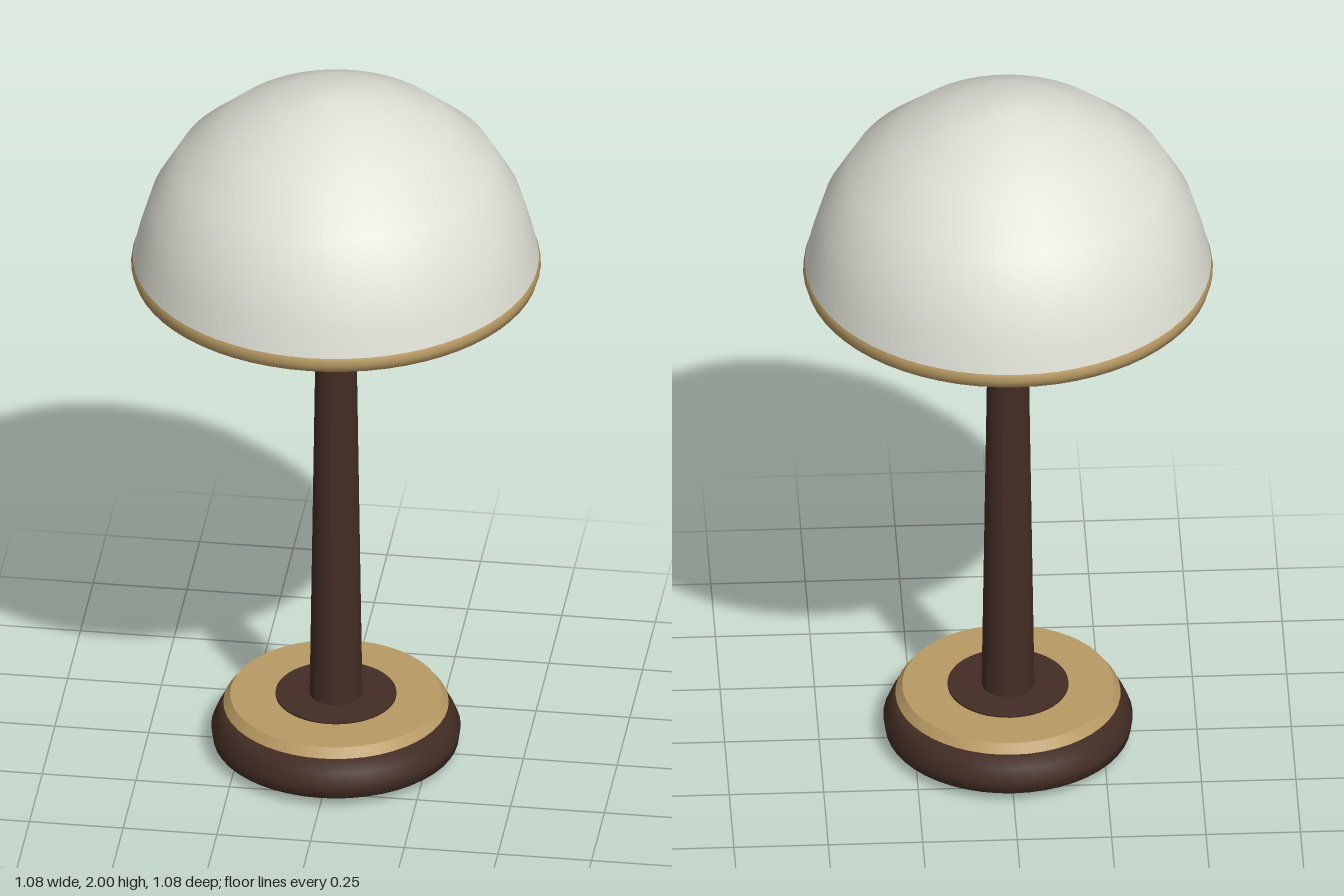
import * as THREE from 'three';

const mat = (name, color) => {
  const m = new THREE.MeshStandardMaterial({ color });
  m.name = name;
  return m;
};

export function createModel() {
  const glass = mat('milk glass', 0xdedfd4);
  const brass = mat('brass', 0xb89a63);
  const wood = mat('dark wood', 0x432d24);
  const copper = mat('copper', 0xb27763);

  const lamp = new THREE.Group();
  lamp.name = 'tableLamp';

  const add = (name, geometry, material, y = 0) => {
    const mesh = new THREE.Mesh(geometry, material);
    mesh.name = name;
    mesh.position.y = y;
    lamp.add(mesh);
  };
  // Profiles run from the underside outward and up, so faces point outward
  const lathe = (name, profile, material, segments = 64) =>
    add(name, new THREE.LatheGeometry(profile.map(([r, y]) => new THREE.Vector2(r, y)), segments), material);
  const drum = (name, rTop, rBottom, y0, y1, material, segments = 32) =>
    add(name, new THREE.CylinderGeometry(rTop, rBottom, y1 - y0, segments), material, (y0 + y1) / 2);

  // Foot: rounded wooden base, brass plate and central wooden inlay
  lathe('base', [[0, 0], [0.25, 0.002], [0.295, 0.012], [0.325, 0.03], [0.33, 0.065],
    [0.315, 0.1], [0.295, 0.135], [0, 0.135]], wood, 48);
  drum('basePlate', 0.28, 0.298, 0.135, 0.16, brass, 48);
  drum('baseInlay', 0.16, 0.16, 0.158, 0.165, wood, 48);

  // Tapered stem and the two brass fittings, with a narrow gap between them
  drum('stem', 0.054, 0.07, 0.16, 1.26, wood);
  drum('stemFitting', 0.09, 0.096, 1.245, 1.357, brass);
  drum('shadeCollar', 0.137, 0.132, 1.377, 1.475, brass);

  // Shade: glass dome, brass rim and copper underside
  lathe('shadeDome', [[0.537, 1.505], [0.52, 1.575], [0.49, 1.675], [0.42, 1.795],
    [0.3, 1.9], [0.165, 1.97], [0.05, 1.999], [0, 2]], glass);
  lathe('shadeRim', [[0.49, 1.452], [0.515, 1.453], [0.536, 1.465], [0.542, 1.485],
    [0.54, 1.5], [0.534, 1.51]], brass);
  lathe('shadeUnderside', [[0, 1.472], [0.42, 1.472], [0.45, 1.47], [0.475, 1.463], [0.49, 1.452]], copper);

  return lamp;
}
